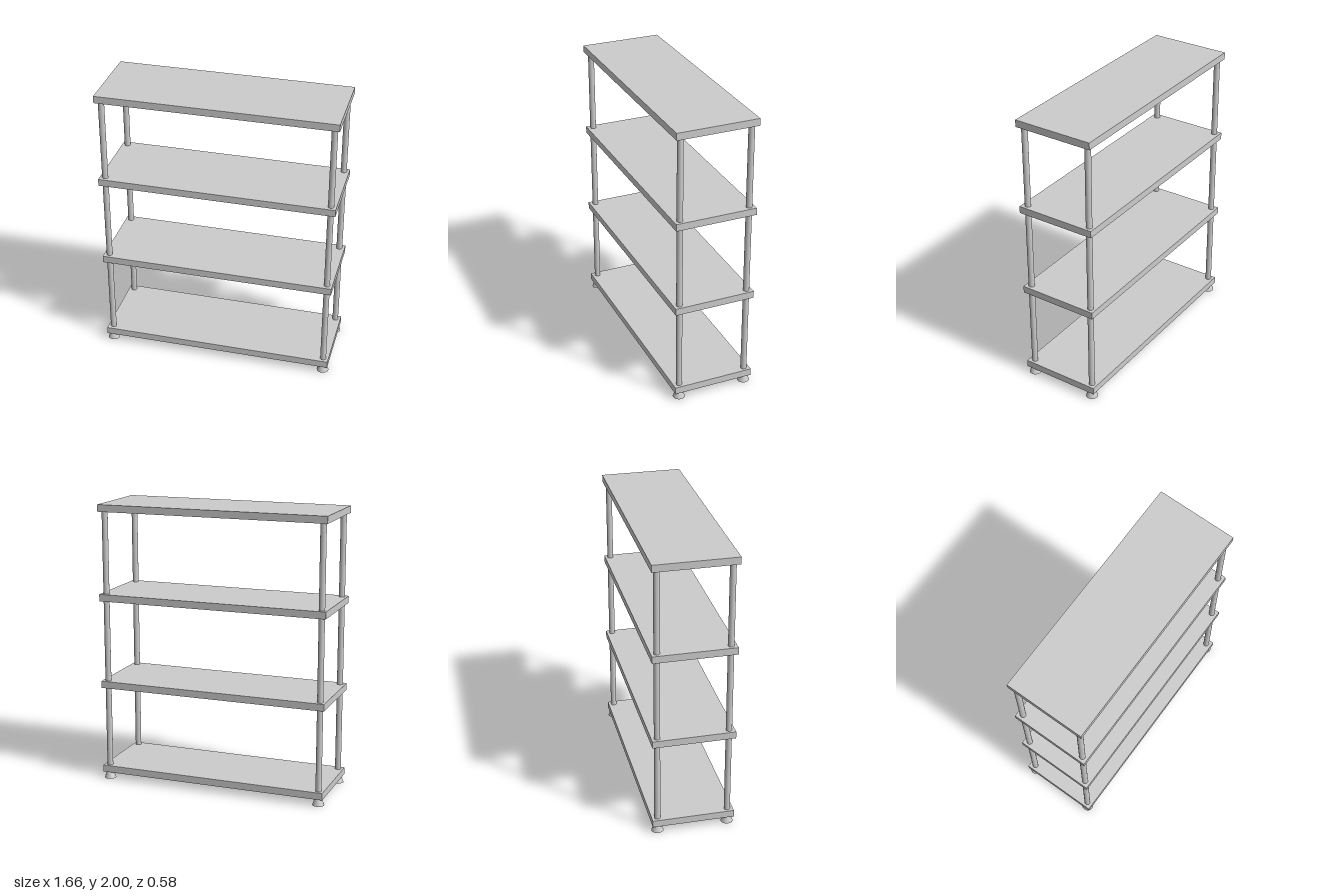
import * as THREE from 'three';

export function createModel() {
  const model = new THREE.Group();
  const material = new THREE.MeshStandardMaterial({ color: 0xcccccc });
  const add = (name, geometry, x, y, z) => {
    const mesh = new THREE.Mesh(geometry, material);
    mesh.name = name;
    mesh.position.set(x, y, z);
    model.add(mesh);
  };

  const thickness = 0.05, shelfCount = 4, firstTop = 0.1;
  const spacing = (2 - firstTop) / (shelfCount - 1);
  const postX = 0.79, postZ = 0.246;

  const shelf = new THREE.BoxGeometry(1.656, thickness, 0.572);
  const postLength = spacing - thickness;
  const post = new THREE.CylinderGeometry(0.021, 0.021, postLength, 24);
  const foot = new THREE.CylinderGeometry(0.024, 0.042, firstTop - thickness, 24);

  // Evenly spaced shelves
  for (let i = 0; i < shelfCount; i++) {
    add('shelf', shelf, 0, firstTop + i * spacing - thickness / 2, 0.001);
  }

  // Each corner: a flared foot and a post section between each pair of shelves
  for (const x of [-postX, postX]) {
    for (const z of [-postZ, postZ]) {
      add('foot', foot, x, (firstTop - thickness) / 2, z);
      for (let i = 0; i < shelfCount - 1; i++) {
        add('post', post, x, firstTop + i * spacing + postLength / 2, z);
      }
    }
  }

  return model;
}
